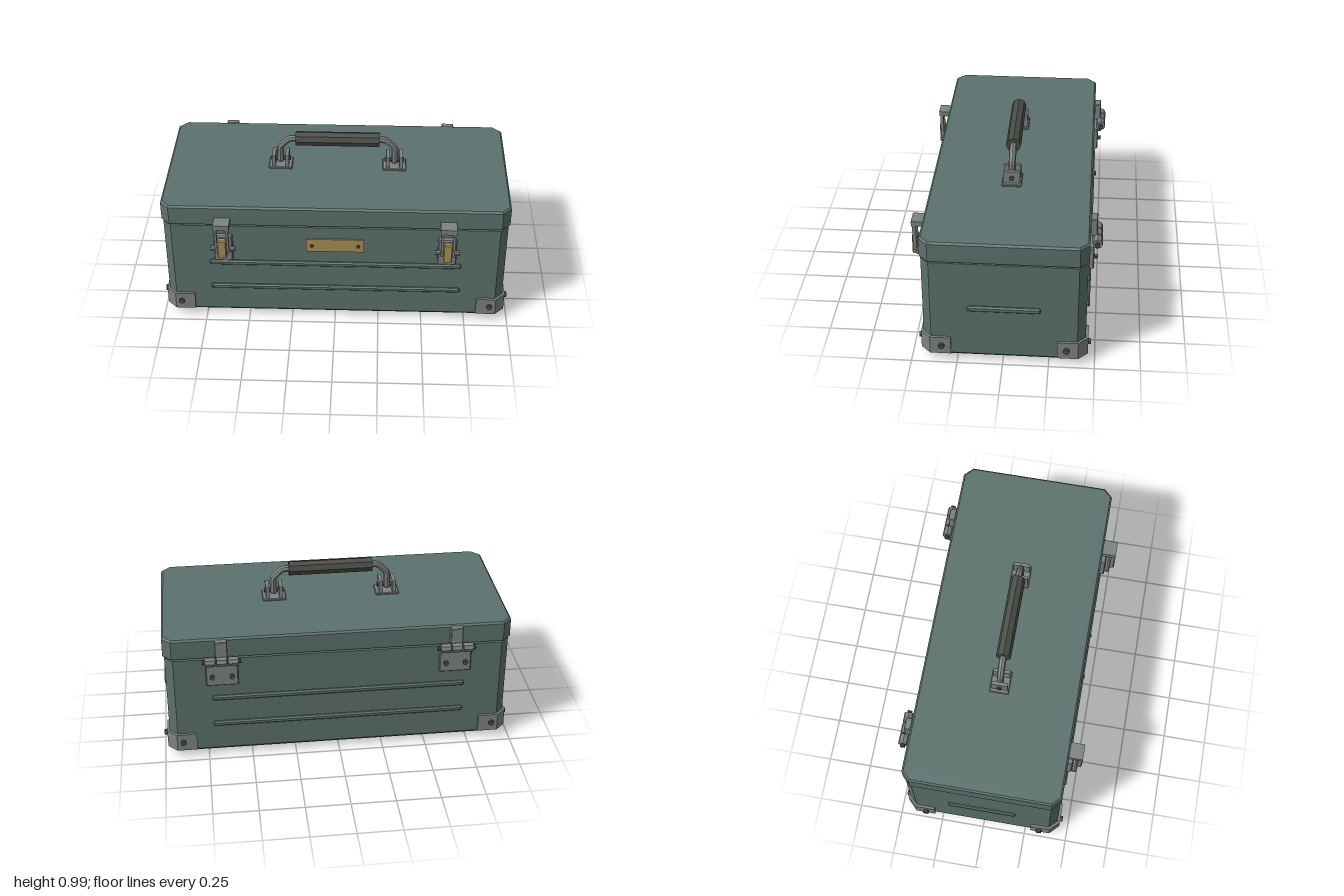
import * as THREE from 'three';
import { ConvexGeometry } from 'three/addons/geometries/ConvexGeometry.js';

export function createModel() {
  const mat = (name, color) => new THREE.MeshStandardMaterial({ name, color, flatShading: true });
  const paint = mat('green grey paint', 0x5b716d);
  const steel = mat('steel', 0x7d8282);
  const brass = mat('brass', 0xa88f58);
  const dark = mat('dark rubber', 0x4a4c46);

  const model = new THREE.Group();
  model.name = 'toolbox';
  const box = new THREE.Group();
  box.name = 'case';
  box.position.z = -0.006;
  model.add(box);

  const HX = 0.968, HZ = 0.4425, CH = 0.045;

  const add = (parent, name, geo, material, x = 0, y = 0, z = 0) => {
    const m = new THREE.Mesh(geo, material);
    m.name = name;
    m.position.set(x, y, z);
    parent.add(m);
    return m;
  };
  const block = (w, h, d) => new THREE.BoxGeometry(w, h, d);

  // box with all edges chamfered by b
  const bevelBlock = (w, h, d, b) => {
    const pts = [];
    for (const x of [-1, 1]) for (const y of [-1, 1]) for (const z of [-1, 1]) {
      for (let k = 0; k < 3; k++) {
        const e = [0, 1, 2].map(i => (i === k ? 0 : b));
        pts.push(new THREE.Vector3(x * (w / 2 - e[0]), y * (h / 2 - e[1]), z * (d / 2 - e[2])));
      }
    }
    return new ConvexGeometry(pts);
  };

  // solid with cut corners, given as [y, inset] rings
  const shell = (hx, hz, c, rings) => {
    const pts = [];
    for (const [y, inset] of rings) {
      const k = c - 0.59 * inset;
      const x = hx - inset, z = hz - inset;
      for (const sx of [-1, 1]) for (const sz of [-1, 1]) {
        pts.push(new THREE.Vector3(sx * x, y, sz * (z - k)), new THREE.Vector3(sx * (x - k), y, sz * z));
      }
    }
    return new ConvexGeometry(pts);
  };

  // cylinder along a chosen axis
  const rod = (r, len, axis, sides = 8) => {
    const g = new THREE.CylinderGeometry(r, r, len, sides);
    if (axis === 'x') g.rotateZ(Math.PI / 2);
    if (axis === 'z') g.rotateX(Math.PI / 2);
    return g;
  };

  // Case and lid
  add(box, 'body', shell(HX, HZ, CH, [[0.028, 0.014], [0.045, 0], [0.636, 0]]), paint);
  add(box, 'lid', shell(HX + 0.009, HZ + 0.006, CH + 0.004, [[0.65, 0], [0.757, 0], [0.767, 0.01]]), paint);

  // Pressed ribs
  for (const s of [-1, 1]) {
    for (const y of [0.212, 0.384]) {
      add(box, 'longRib', bevelBlock(1.43, 0.03, 0.03, 0.008), paint, 0, y, s * HZ);
    }
    add(box, 'sideRib', bevelBlock(0.03, 0.033, 0.395, 0.008), paint, s * HX, 0.352, 0);
  }

  // Corner guards with rivets, and feet
  const t = 0.014, co = CH + 0.59 * t, leg = 0.153;
  for (const sx of [-1, 1]) for (const sz of [-1, 1]) {
    const outline = [
      [HX + t, HZ - leg], [HX + t, HZ + t - co], [HX + t - co, HZ + t], [HX - leg, HZ + t],
      [HX - leg, HZ], [HX - CH, HZ], [HX, HZ - CH], [HX, HZ - leg],
    ].map(([x, z]) => new THREE.Vector2(sx * x, -sz * z));
    const g = new THREE.ExtrudeGeometry(new THREE.Shape(outline), { depth: 0.106, bevelEnabled: false });
    g.rotateX(-Math.PI / 2);
    add(box, 'cornerGuard', g, steel, 0, 0.047, 0);
    add(box, 'cornerRivet', rod(0.017, 0.024, 'z', 6), dark, sx * 0.893, 0.103, sz * (HZ + 0.016));
    add(box, 'cornerRivet', rod(0.017, 0.03, 'x', 6), dark, sx * (HX + 0.017), 0.103, sz * 0.34);
    add(box, 'foot', block(0.156, 0.03, 0.086), dark, sx * 0.78, 0.015, sz * 0.319);
  }

  // Name plate, left blank
  add(box, 'frontPlate', block(0.326, 0.085, 0.008), brass, 0, 0.518, HZ + 0.004);
  for (const s of [-1, 1]) {
    add(box, 'plateRivet', rod(0.009, 0.014, 'z', 8), dark, s * 0.131, 0.518, HZ + 0.012);
  }

  // Latches
  for (const s of [-1, 1]) {
    const latch = new THREE.Group();
    latch.name = 'latch';
    latch.position.x = s * 0.63;
    box.add(latch);
    add(latch, 'latchPlate', bevelBlock(0.107, 0.17, 0.034, 0.006), steel, 0, 0.501, 0.458);
    add(latch, 'latchPivot', rod(0.014, 0.14, 'x', 8), steel, 0, 0.513, 0.487);
    add(latch, 'latchLever', bevelBlock(0.05, 0.12, 0.033, 0.005), brass, 0, 0.531, 0.511);
    add(latch, 'latchHook', block(0.09, 0.031, 0.083), steel, 0, 0.68, 0.4845);
    for (const e of [-1, 1]) {
      add(latch, 'latchArm', block(0.013, 0.16, 0.02), steel, e * 0.033, 0.588, 0.511);
    }
  }

  // Hinges
  for (const s of [-1, 1]) {
    const hinge = new THREE.Group();
    hinge.name = 'hinge';
    hinge.position.x = s * 0.655;
    box.add(hinge);
    add(hinge, 'hingeLowerLeaf', bevelBlock(0.18, 0.137, 0.03, 0.005), steel, 0, 0.548, -0.456);
    add(hinge, 'hingeUpperLeaf', bevelBlock(0.07, 0.104, 0.038, 0.004), steel, 0, 0.71, -0.465);
    add(hinge, 'hingePin', rod(0.014, 0.215, 'x', 8), dark, 0, 0.644, -0.486);
    for (const k of [-1, 0, 1]) {
      add(hinge, 'hingeKnuckle', rod(0.028, 0.056, 'x', 8), steel, k * 0.064, 0.644, -0.486);
    }
    for (const e of [-1, 1]) {
      add(hinge, 'hingeRivet', rod(0.014, 0.022, 'z', 6), dark, e * 0.055, 0.541, -0.479);
    }
  }

  // Handle mounts
  const handle = new THREE.Group();
  handle.name = 'handle';
  box.add(handle);
  for (const s of [-1, 1]) {
    add(handle, 'mountPlate', bevelBlock(0.135, 0.014, 0.11, 0.004), steel, s * 0.328, 0.773, 0);
    for (const e of [-1, 1]) {
      add(handle, 'mountLug', block(0.02, 0.073, 0.094), steel, s * 0.328 + e * 0.038, 0.815, 0);
    }
    add(handle, 'mountPin', rod(0.014, 0.112, 'x', 8), dark, s * 0.328, 0.811, 0);
  }

  // Bent carrying bar and grip
  const corners = [[-0.33, 0.795], [-0.33, 0.89], [-0.275, 0.943], [0.275, 0.943], [0.33, 0.89], [0.33, 0.795]]
    .map(([x, y]) => new THREE.Vector3(x, y, 0));
  const path = new THREE.CurvePath();
  let from = corners[0];
  for (let i = 1; i < corners.length - 1; i++) {
    const c = corners[i];
    const toward = p => c.clone().add(p.clone().sub(c).setLength(0.018));
    const a = toward(corners[i - 1]), b = toward(corners[i + 1]);
    path.add(new THREE.LineCurve3(from, a));
    path.add(new THREE.QuadraticBezierCurve3(a, c, b));
    from = b;
  }
  path.add(new THREE.LineCurve3(from, corners[corners.length - 1]));
  add(handle, 'handleBar', new THREE.TubeGeometry(path, 64, 0.02, 8, false), steel);
  add(handle, 'handleGrip', rod(0.042, 0.48, 'x', 8), dark, 0, 0.943, 0);

  return model;
}
